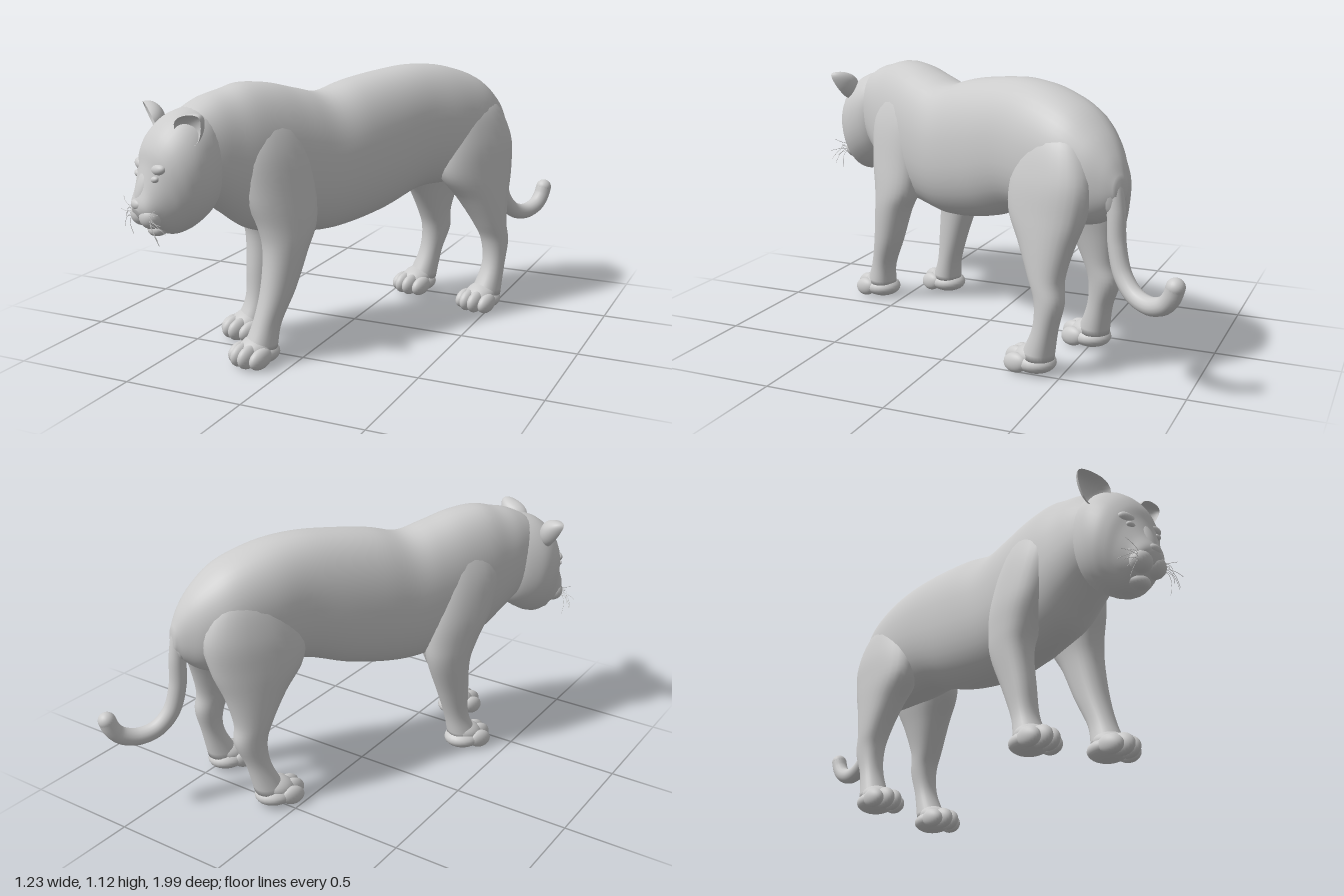
import * as THREE from 'three';

const mat = new THREE.MeshStandardMaterial({ color: 0xcccccc });
const thinMat = new THREE.MeshStandardMaterial({ color: 0xcccccc, side: THREE.DoubleSide });

// Smooth closed skin through oval rings: [x, halfWidth, y1, z1, y2, z2],
// where (y1,z1) is the ring's top/front edge and (y2,z2) its bottom/back edge.
function loft(rings, sides = 32, sub = 5, power = 0.9) {
  const edgeA = new THREE.CatmullRomCurve3(rings.map(r => new THREE.Vector3(r[0], r[2], r[3])), false, 'catmullrom');
  const edgeB = new THREE.CatmullRomCurve3(rings.map(r => new THREE.Vector3(r[1], r[4], r[5])), false, 'catmullrom');
  const rows = (rings.length - 1) * sub, pos = [], idx = [];
  const soft = v => Math.sign(v) * Math.abs(v) ** power;
  for (let i = 0; i <= rows; i++) {
    const p = edgeA.getPoint(i / rows), q = edgeB.getPoint(i / rows);
    for (let j = 0; j < sides; j++) {
      const t = j / sides * Math.PI * 2, c = soft(Math.cos(t)), s = soft(Math.sin(t));
      pos.push(p.x + q.x * c, (p.y + q.y) / 2 + (p.y - q.y) / 2 * s, (p.z + q.z) / 2 + (p.z - q.z) / 2 * s);
    }
  }
  for (let i = 0; i < rows; i++) for (let j = 0; j < sides; j++) {
    const a = i * sides + j, b = i * sides + (j + 1) % sides;
    idx.push(a, b, a + sides, b, b + sides, a + sides);
  }
  // end caps
  for (const row of [0, rows]) {
    const r = rings[row ? rings.length - 1 : 0], centre = pos.length / 3, o = row * sides;
    pos.push(r[0], (r[2] + r[4]) / 2, (r[3] + r[5]) / 2);
    for (let j = 0; j < sides; j++) {
      const a = o + j, b = o + (j + 1) % sides;
      if (row) idx.push(centre, a, b); else idx.push(centre, b, a);
    }
  }
  const g = new THREE.BufferGeometry();
  g.setAttribute('position', new THREE.Float32BufferAttribute(pos, 3));
  g.setIndex(idx);
  g.computeVertexNormals();
  return g;
}

function add(parent, name, geometry, material = mat) {
  const m = new THREE.Mesh(geometry, material);
  m.name = name;
  parent.add(m);
  return m;
}

function blob(parent, name, [x, y, z], [sx, sy, sz], rx = 0, rz = 0) {
  const m = add(parent, name, new THREE.SphereGeometry(1, 24, 16));
  m.position.set(x, y, z);
  m.scale.set(sx, sy, sz);
  m.rotation.set(rx, 0, rz);
}

function paw(parent, name, x, z, yaw) {
  const g = new THREE.Group();
  g.name = name;
  g.position.set(x, 0, z);
  g.rotation.y = yaw;
  blob(g, 'pad', [0, 0.05, -0.02], [0.08, 0.045, 0.088]);
  blob(g, 'instep', [0, 0.072, -0.005], [0.068, 0.05, 0.08], 0.3);
  for (const i of [-1.5, -0.5, 0.5, 1.5]) {
    const outer = Math.abs(i) > 1;
    blob(g, 'toe', [i * 0.041, outer ? 0.048 : 0.053, outer ? 0.03 : 0.055], [0.029, outer ? 0.041 : 0.046, 0.056], 0.2);
  }
  parent.add(g);
}

// Leg rings: [y, x, halfWidth, frontZ, backZ], from top to bottom
const legRings = rows => rows.map(([y, x, a, f, b]) => [x, a, y, f, y, b]);

// Torso rings: [z, top, bottom, halfWidth]
const TORSO = [
  [-0.83, 0.80, 0.72, 0.03], [-0.79, 0.885, 0.66, 0.075], [-0.72, 0.97, 0.61, 0.13], [-0.61, 1.05, 0.59, 0.175],
  [-0.45, 1.103, 0.58, 0.188], [-0.28, 1.12, 0.575, 0.182], [-0.1, 1.105, 0.515, 0.19], [0.06, 1.08, 0.48, 0.194],
  [0.2, 1.045, 0.465, 0.19], [0.32, 1.068, 0.474, 0.187], [0.45, 1.1, 0.49, 0.183], [0.57, 1.11, 0.525, 0.175],
  [0.66, 1.09, 0.59, 0.16], [0.74, 1.07, 0.65, 0.145], [0.82, 1.03, 0.69, 0.12], [0.87, 0.98, 0.74, 0.09],
];

const HEAD = [
  [0, 0.10, 1.03, 0.70, 0.70, 0.70], [0, 0.15, 1.04, 0.78, 0.635, 0.74], [0, 0.175, 1.018, 0.87, 0.595, 0.79],
  [0, 0.17, 0.965, 0.94, 0.572, 0.83], [0, 0.147, 0.90, 0.982, 0.56, 0.862], [0, 0.119, 0.83, 0.998, 0.555, 0.895],
  [0, 0.092, 0.76, 1.018, 0.567, 0.935], [0, 0.068, 0.703, 1.04, 0.598, 0.985], [0, 0.03, 0.672, 1.045, 0.632, 1.025],
];

const LEGS = {
  leftFrontLeg: [
    [1.05, 0.075, 0.03, 0.52, 0.44], [0.98, 0.1, 0.077, 0.6, 0.37], [0.85, 0.127, 0.098, 0.65, 0.32],
    [0.68, 0.155, 0.095, 0.63, 0.32], [0.55, 0.178, 0.086, 0.585, 0.335], [0.45, 0.19, 0.077, 0.57, 0.385],
    [0.3, 0.193, 0.064, 0.588, 0.445], [0.17, 0.19, 0.054, 0.625, 0.51], [0.07, 0.185, 0.064, 0.67, 0.53],
  ],
  rightFrontLeg: [
    [1.05, -0.01, 0.03, 0.51, 0.43], [0.98, -0.035, 0.077, 0.58, 0.35], [0.85, -0.065, 0.1, 0.63, 0.31],
    [0.68, -0.092, 0.096, 0.58, 0.27], [0.55, -0.102, 0.084, 0.51, 0.265], [0.45, -0.105, 0.073, 0.475, 0.28],
    [0.3, -0.098, 0.06, 0.48, 0.335], [0.17, -0.094, 0.054, 0.49, 0.38], [0.07, -0.1, 0.064, 0.535, 0.4],
  ],
  leftHindLeg: [
    [1.0, 0.09, 0.03, -0.5, -0.6], [0.92, 0.108, 0.09, -0.41, -0.7], [0.78, 0.133, 0.108, -0.36, -0.76],
    [0.64, 0.157, 0.098, -0.36, -0.75], [0.52, 0.182, 0.08, -0.45, -0.715], [0.4, 0.202, 0.063, -0.53, -0.69],
    [0.31, 0.209, 0.055, -0.575, -0.7], [0.2, 0.216, 0.05, -0.575, -0.675], [0.07, 0.217, 0.062, -0.51, -0.65],
  ],
  rightHindLeg: [
    [1.0, -0.03, 0.03, -0.48, -0.58], [0.92, -0.048, 0.09, -0.39, -0.68], [0.78, -0.073, 0.108, -0.32, -0.74],
    [0.64, -0.095, 0.098, -0.32, -0.72], [0.52, -0.115, 0.08, -0.41, -0.675], [0.4, -0.13, 0.065, -0.48, -0.645],
    [0.31, -0.135, 0.056, -0.51, -0.65], [0.2, -0.14, 0.05, -0.5, -0.605], [0.07, -0.15, 0.062, -0.44, -0.575],
  ],
};

function makeHead() {
  const head = new THREE.Group();
  head.name = 'head';
  add(head, 'skull', loft(HEAD, 36, 5, 0.95));
  blob(head, 'nose', [0, 0.688, 1.03], [0.034, 0.022, 0.02], 0.3);
  blob(head, 'noseBridge', [0, 0.755, 1.0], [0.038, 0.085, 0.025], -0.35);
  blob(head, 'chin', [0, 0.59, 0.94], [0.05, 0.032, 0.05], 0.4);
  // cupped ear, narrowing towards its tip
  const ear = new THREE.SphereGeometry(1, 28, 12, 0, Math.PI * 2, 0, Math.PI / 2).rotateX(-Math.PI / 2);
  const p = ear.attributes.position;
  for (let i = 0; i < p.count; i++) p.setX(i, p.getX(i) * (1 - 0.4 * p.getY(i)));
  ear.scale(0.055, 0.085, 0.055);
  ear.computeVertexNormals();
  for (const s of [-1, 1]) {
    const e = add(head, 'ear', ear, thinMat);
    e.position.set(s * 0.158, 0.982, 0.885);
    e.rotation.set(0.35, s * 0.3, -s * 0.92, 'YXZ');
    blob(head, 'muzzlePad', [s * 0.037, 0.642, 0.993], [0.05, 0.046, 0.045], 0.2);
    blob(head, 'brow', [s * 0.066, 0.825, 0.968], [0.048, 0.024, 0.026], 0.2, s * 0.15);
    blob(head, 'eye', [s * 0.07, 0.79, 0.987], [0.022, 0.013, 0.014], 0, s * 0.2);
    // whiskers fan out and droop from the muzzle
    for (let i = 0; i < 8; i++) {
      const y = 0.625 + (i % 4) * 0.012, reach = 0.03 * (i % 3);
      const curve = new THREE.QuadraticBezierCurve3(
        new THREE.Vector3(s * 0.06, y, 1.01),
        new THREE.Vector3(s * 0.1, y + 0.005, 1.035),
        new THREE.Vector3(s * (0.11 + reach), y - 0.08 + i * 0.016, 1.0 + 0.02 * (i % 2)));
      add(head, 'whisker', new THREE.TubeGeometry(curve, 8, 0.001, 4));
    }
  }
  return head;
}

export function createModel() {
  const model = new THREE.Group();
  model.name = 'bigCat';
  const body = new THREE.Group();
  body.name = 'body';
  body.rotation.y = -0.511; // stands diagonally
  model.add(body);

  add(body, 'torso', loft(TORSO.map(([z, top, bottom, a]) => [0.03, a, top, z, bottom, z]), 40));

  const head = makeHead();
  head.position.x = 0.035;
  body.add(head);

  for (const [name, rows] of Object.entries(LEGS)) add(body, name, loft(legRings(rows), 28));
  paw(body, 'leftFrontPaw', 0.185, 0.622, 0.2);
  paw(body, 'rightFrontPaw', -0.103, 0.49, 0.1);
  paw(body, 'leftHindPaw', 0.218, -0.545, 0.2);
  paw(body, 'rightHindPaw', -0.15, -0.47, 0.15);

  // tail: hangs from the rump and curls up at the end
  const path = new THREE.CatmullRomCurve3([
    [0.88, -0.74], [0.8, -0.785], [0.68, -0.81], [0.55, -0.82], [0.44, -0.855], [0.375, -0.92],
    [0.357, -1.0], [0.38, -1.07], [0.42, -1.105], [0.46, -1.12],
  ].map(([y, z]) => new THREE.Vector3(0.035, y, z)));
  add(body, 'tail', new THREE.TubeGeometry(path, 60, 0.036, 16));
  blob(body, 'tailRoot', [0.035, 0.78, -0.775], [0.06, 0.13, 0.045], 0.25);
  blob(body, 'tailTip', [0.035, 0.46, -1.12], [0.036, 0.036, 0.036]);
  return model;
}
